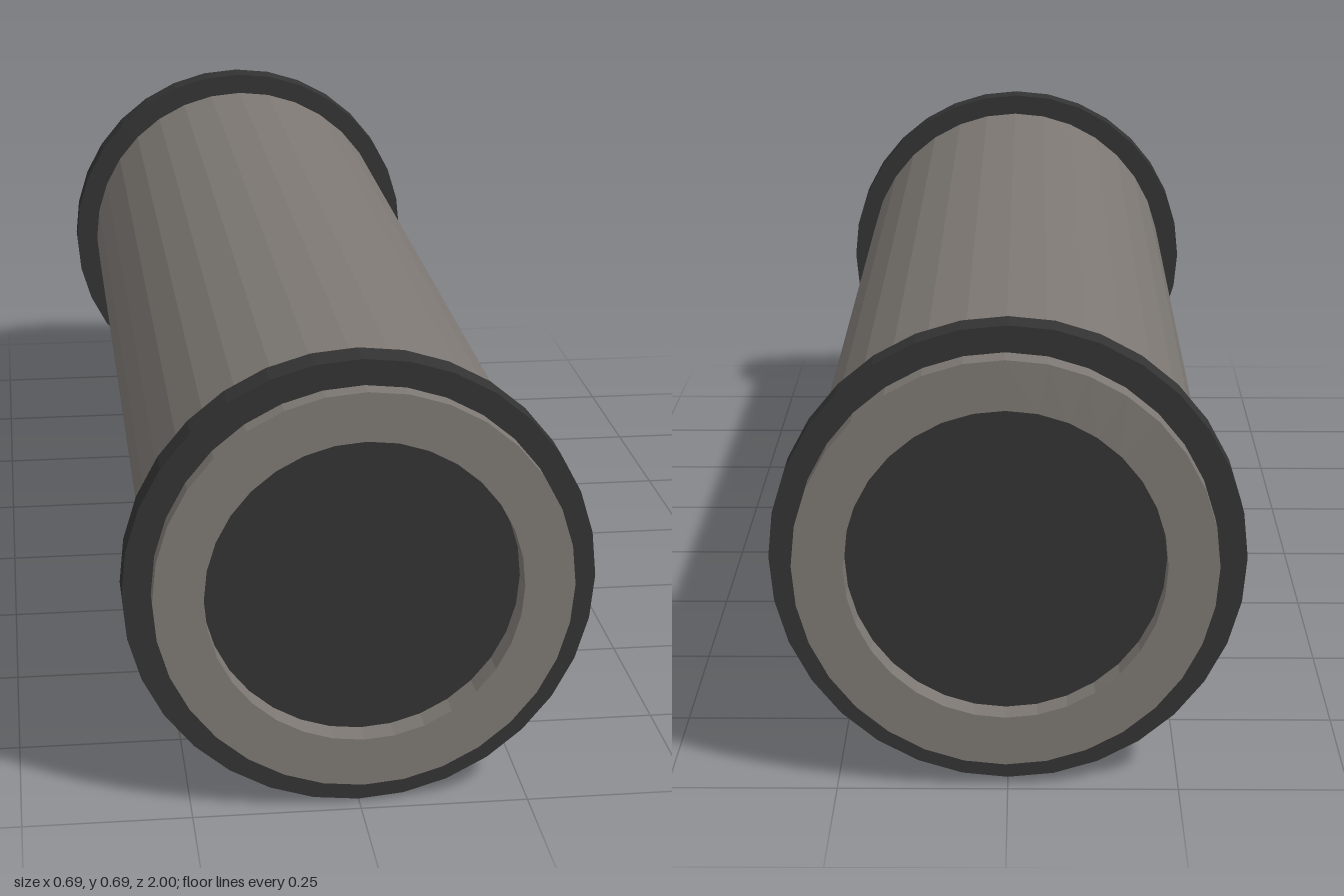
import * as THREE from 'three';

const SIDES = 32;
const AXIS_Y = 0.347;

// Closed hollow cylinder along z, between an inner and an outer radius
function hollowCylinder(inner, outer, length) {
  const h = length / 2;
  const profile = [[inner, -h], [outer, -h], [outer, h], [inner, h], [inner, -h]]
    .map(([r, y]) => new THREE.Vector2(r, y));
  return new THREE.LatheGeometry(profile, SIDES).rotateX(Math.PI / 2);
}

export function createModel() {
  const group = new THREE.Group();
  group.name = 'pipe';
  const grey = new THREE.MeshStandardMaterial({ color: 0x7d7873, flatShading: true });
  const dark = new THREE.MeshStandardMaterial({ color: 0x333333, flatShading: true });

  const add = (name, geometry, material, x, z) => {
    const mesh = new THREE.Mesh(geometry, material);
    mesh.name = name;
    mesh.position.set(x, AXIS_Y, z);
    group.add(mesh);
  };

  // Thick-walled tube
  add('tube', hollowCylinder(0.233, 0.307, 2), grey, 0.003, 0);

  // Dark core, slightly recessed at both ends
  const core = new THREE.CylinderGeometry(0.233, 0.233, 1.92, SIDES).rotateX(Math.PI / 2);
  add('core', core, dark, 0.003, 0);

  // Flange ring near each end
  const ring = hollowCylinder(0.3, 0.346, 0.052);
  add('frontRing', ring, dark, 0, 0.944);
  add('backRing', ring, dark, 0, -0.933);

  return group;
}
